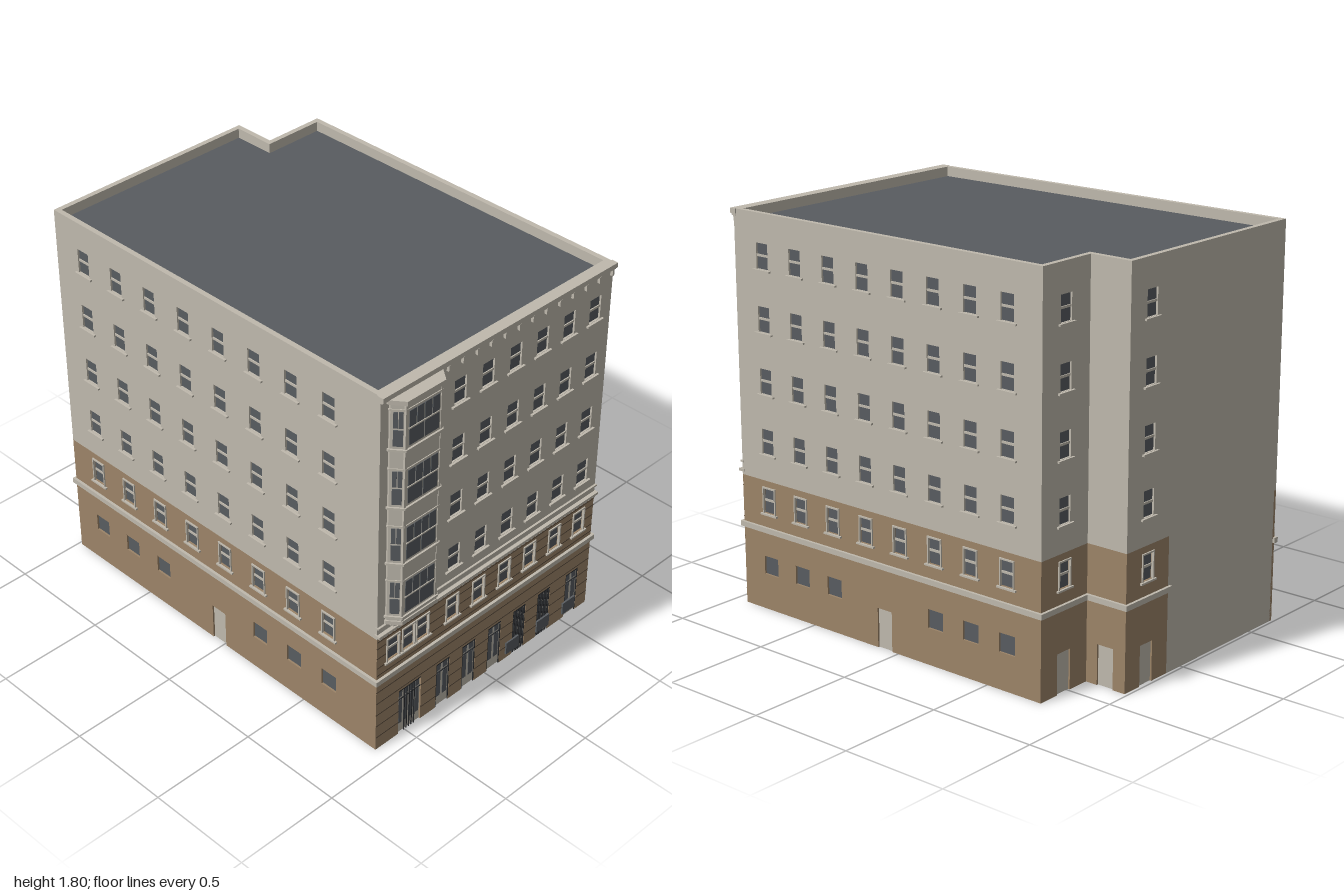
import * as THREE from 'three';
import { mergeGeometries } from 'three/addons/utils/BufferGeometryUtils.js';

const flat = (name, color) => {
  const m = new THREE.MeshStandardMaterial({ color });
  m.name = name;
  return m;
};
const CREAM = flat('cream stone', 0xbfb9ad);
const BROWN = flat('brown stone', 0x9c8468);
const GROOVE = flat('dark brown joint', 0x5f5040);
const SLATE = flat('slate glass', 0x585c60);
const IRON = flat('black iron', 0x2b2d30);

const T = 0.014, TOP = 1.8, SPLIT = 0.605;       // facing depth, height, brown/cream split
const FLOORS = [0.727, 1.0, 1.277, 1.555];       // window bottoms of the cream storeys
const W = 0.068, H = 0.114;                      // window opening

const block = (w, h, d, x, y, z) => new THREE.BoxGeometry(w, h, d).translate(x, y, z);
function add(group, name, geos, mat) {
  if (!geos.length) return;
  const mesh = new THREE.Mesh(geos.length > 1 ? mergeGeometries(geos) : geos[0], mat);
  mesh.name = name;
  group.add(mesh);
}
const points = list => list.map(([x, y]) => new THREE.Vector2(x, y));

// Wall sheet with its outer face at z = 0; doors cut the bottom edge, holes are [x, y, w, h]
function sheet(x0, x1, y0, y1, holes, doors = []) {
  const pts = [[x0, y0]];
  for (const [x, w, h] of [...doors].sort((a, b) => a[0] - b[0]))
    pts.push([x - w / 2, y0], [x - w / 2, h], [x + w / 2, h], [x + w / 2, y0]);
  pts.push([x1, y0], [x1, y1], [x0, y1]);
  const shape = new THREE.Shape(points(pts));
  for (const [x, y, w, h] of holes)
    shape.holes.push(new THREE.Path(points([[x - w / 2, y], [x - w / 2, y + h], [x + w / 2, y + h], [x + w / 2, y]])));
  return new THREE.ExtrudeGeometry(shape, { depth: T, bevelEnabled: false }).translate(0, 0, -T);
}

// One side of the building: stone sheets, windows, sills, doors and string course
function facade(name, o) {
  const g = new THREE.Group();
  g.name = name;
  const cols = o.cols, low = o.lowCols ?? cols, small = o.small ?? [], doors = o.doors ?? [];
  const b0 = o.brown?.[0] ?? o.x0, b1 = o.brown?.[1] ?? o.x1;
  const upper = FLOORS.flatMap(y => cols.map(x => [x, y, W, H]));
  const lower = low.map(x => [x, 0.455, W, H]);
  const ground = small.map(x => [x, 0.165, 0.085, 0.085]);
  add(g, 'upper wall', [sheet(o.x0, o.x1, SPLIT, TOP, upper)], CREAM);
  add(g, 'lower wall', [sheet(b0, b1, 0, SPLIT, [...lower, ...ground], doors)], BROWN);
  if (b0 > o.x0) add(g, 'plain wall', [sheet(o.x0, b0, 0, SPLIT, [])], CREAM);
  if (b1 < o.x1) add(g, 'plain wall', [sheet(b1, o.x1, 0, SPLIT, [])], CREAM);

  const sashes = [...upper, ...lower];
  add(g, 'window glass', [...sashes, ...ground].map(([x, y, w, h]) => block(w, h, 0.004, x, y + h / 2, -0.011)), SLATE);
  add(g, 'sash rails', sashes.map(([x, y]) => block(W, 0.01, 0.006, x, y + H * 0.52, -0.007)), CREAM);
  add(g, 'window sills', sashes.map(([x, y]) => block(0.1, 0.008, 0.018, x, y - 0.005, 0.002)), CREAM);
  // Raised surrounds on the brown storey
  add(g, 'window surrounds', lower.flatMap(([x, y]) => [
    ...[-1, 1].map(s => block(0.006, H + 0.014, 0.012, x + s * (W / 2 + 0.002), y + H / 2, 0)),
    block(W + 0.01, 0.007, 0.012, x, y + H + 0.003, 0)]), CREAM);
  add(g, 'string course', [block(b1 - b0 + 0.02, 0.024, 0.024, (b0 + b1) / 2, 0.377, 0.001)], CREAM);
  add(g, 'doors', doors.map(([x, w, h]) => block(w, h, 0.004, x, h / 2, -0.01)), CREAM);
  return g;
}

// Footprint with a notched back corner, pulled in by d (front by f)
const outline = (d, f = d) => points([
  [-0.675 + d, -0.93 + f], [0.675 - d, -0.93 + f], [0.675 - d, 0.785 - d],
  [0.382 - d, 0.785 - d], [0.382 - d, 0.985 - d], [-0.675 + d, 0.985 - d]]);
const raise = (shape, y0, y1) => new THREE.ExtrudeGeometry(shape, { depth: y1 - y0, bevelEnabled: false })
  .rotateX(-Math.PI / 2).translate(0, y0, 0);

// Openings and trim of the street front
function dressFront(g, doors, lowCols) {
  const glass = [], bars = [], joints = [];
  for (const [x, w, h, kind] of doors) {
    const leaves = kind === 'double' ? 4 : 2, step = w / leaves;
    for (let i = 0; i < leaves; i++) {
      const px = x - w / 2 + step * (i + 0.5);
      glass.push(block(step - 0.014, 0.13, 0.003, px, 0.115, -0.007), block(step - 0.014, 0.035, 0.003, px, 0.213, -0.007));
    }
    bars.push(block(w, 0.006, 0.006, x, h - 0.003, -0.003), block(w, 0.004, 0.004, x, 0.187, -0.005));
    const count = kind === 'grille' ? 8 : kind === 'double' ? 5 : 0;
    const span = kind === 'double' ? 0.06 : w - 0.006;
    for (let i = 0; i < count; i++)
      bars.push(block(0.0045, h, 0.004, x + span * (i / (count - 1) - 0.5), h / 2, -0.003));
    if (!count) for (const s of [-1, 1]) bars.push(block(0.004, h, 0.004, x + s * (w / 2 - 0.002), h / 2, -0.003));
  }
  add(g, 'shopfront glass', glass, SLATE);
  add(g, 'iron grilles', bars, IRON);

  // Masonry joints, broken at the openings
  for (const y of [0.067, 0.13, 0.192, 0.255, 0.317, 0.41, 0.45, 0.502, 0.555, 0.59]) {
    const gaps = y < 0.24 ? doors.map(d => [d[0], d[1]])
      : y > 0.44 && y < 0.58 ? lowCols.map(x => [x, 0.085]) : [];
    let start = -0.675;
    for (const [x, w] of [...gaps, [0.675, 0]].sort((a, b) => a[0] - b[0])) {
      const end = x - w / 2;
      if (end - start > 0.005) joints.push(block(end - start, 0.006, 0.003, (start + end) / 2, y, 0));
      start = Math.max(start, x + w / 2);
    }
  }
  add(g, 'masonry joints', joints, GROOVE);
  add(g, 'wall boxes', [0.172, 0.374, 0.549].map(x => block(0.082, 0.062, 0.009, x, 0.058, 0.003)), SLATE);

  // Dentilled cornice over the brown storeys, and the bracketed top cornice
  const trim = [block(1.36, 0.012, 0.03, 0, 0.625, 0.003), block(1.355, 0.008, 0.02, 0, 0.665, 0),
    block(1.36, 0.022, 0.032, 0, 1.789, 0.002), block(1.355, 0.008, 0.024, 0, 1.774, 0)];
  for (let i = 0; i < 50; i++) trim.push(block(0.013, 0.013, 0.02, -0.662 + i * 0.027, 0.613, 0.002));
  for (let i = 0; i < 13; i++) trim.push(block(0.01, 0.03, 0.022, -0.31 + i * 0.081, 1.757, 0.002));
  add(g, 'cornices', trim, CREAM);
}

// Canted bay window
function bayWindow() {
  const g = new THREE.Group();
  g.name = 'bayWindow';
  g.position.x = -0.494;
  const plan = (d, f = 0) => new THREE.Shape(points([
    [-0.137 - d, -0.92], [-0.137 - d, -0.938], [-0.097 - d * 0.6, -0.985 - d + f],
    [0.097 + d * 0.6, -0.985 - d + f], [0.137 + d, -0.938], [0.137 + d, -0.92]]));
  const parts = [raise(plan(0), 0.68, 1.76), raise(plan(0.012), 1.752, 1.772), raise(plan(0.006), 0.672, 0.69),
    raise(plan(-0.012), 0.66, 0.672), raise(plan(-0.026), 0.645, 0.66), raise(plan(-0.042, -0.002), 0.63, 0.645)];
  for (const y of FLOORS) parts.push(raise(plan(0.009), y - 0.022, y - 0.012));
  for (const y of FLOORS) parts.push(raise(plan(0.004), y + 0.165, y + 0.173));
  for (const s of [-1, 1]) parts.push(block(0.012, 1.07, 0.012, s * 0.097, 1.215, 0.982));
  parts.forEach(p => add(g, 'bay stonework', [p], CREAM));

  // Panes: four over two on the front, two over one on each canted side
  const front = [], side = [], rails = [];
  for (const y of FLOORS) {
    for (let i = 0; i < 4; i++) front.push(block(0.037, 0.075, 0.004, (i - 1.5) * 0.0425, y + 0.122, 0.986));
    for (const s of [-1, 1]) front.push(block(0.079, 0.075, 0.004, s * 0.0425, y + 0.038, 0.986));
    for (const s of [-1, 1]) side.push(block(0.018, 0.075, 0.004, s * 0.0105, y + 0.122, 0.001));
    side.push(block(0.039, 0.075, 0.004, 0, y + 0.038, 0.001));
    rails.push(block(0.17, 0.006, 0.008, 0, y + 0.08, 0.986));
  }
  add(g, 'bay front glass', front, SLATE);
  add(g, 'bay rails', rails, CREAM);
  for (const s of [-1, 1]) {
    const face = new THREE.Group();
    face.name = 'bay canted side';
    face.position.set(s * 0.117, 0, 0.9615);
    face.rotation.y = s * Math.atan2(0.047, 0.04);
    add(face, 'bay side glass', side.map(q => q.clone()), SLATE);
    g.add(face);
  }
  return g;
}

export function createModel() {
  const model = new THREE.Group();
  model.name = 'building';
  const place = (g, x, z, turn) => {
    g.position.set(x, 0, z);
    g.rotation.y = turn;
    model.add(g);
    return g;
  };

  // Street front
  const cols = [-0.23, -0.069, 0.093, 0.254, 0.416, 0.577];
  const lowCols = [-0.582, -0.491, -0.408, ...cols];
  const doors = [[-0.473, 0.134, 0.24, 'double'], [-0.272, 0.08, 0.24], [-0.11, 0.08, 0.24], [0.053, 0.08, 0.24],
    [0.214, 0.08, 0.24, 'grille'], [0.375, 0.08, 0.24, 'grille'], [0.563, 0.08, 0.24]];
  const front = place(facade('frontWall', { x0: -0.675, x1: 0.675, cols, lowCols, doors }), 0, 0.93, 0);
  dressFront(front, doors, lowCols);
  model.add(bayWindow());

  // Long side walls
  const rightCols = Array.from({ length: 8 }, (_, i) => -0.764 + i * 0.196);
  place(facade('leftSideWall', { x0: -0.93, x1: 0.785, cols: rightCols, small: [0, 1, 2, 5, 6, 7].map(i => rightCols[i]),
    doors: [[-0.075, 0.082, 0.18]] }), 0.675, 0, Math.PI / 2);
  const leftCols = Array.from({ length: 8 }, (_, i) => -0.81 + i * 0.209);
  place(facade('rightSideWall', { x0: -0.985, x1: 0.93, cols: leftCols, small: [0, 1, 2, 5, 6, 7].map(i => leftCols[i]),
    doors: [[-0.03, 0.082, 0.18]] }), -0.675, 0, -Math.PI / 2);

  // Back wall and the two walls of the notch
  place(facade('backWall', { x0: -0.382, x1: 0.675, brown: [-0.382, -0.1], cols: [-0.243],
    doors: [[-0.243, 0.082, 0.18]] }), 0, -0.985, Math.PI);
  place(facade('notchBackWall', { x0: -0.675, x1: -0.37, cols: [-0.53], doors: [[-0.53, 0.082, 0.18]] }), 0, -0.785, Math.PI);
  place(facade('notchSideWall', { x0: 0.772, x1: 0.985, cols: [], doors: [[0.882, 0.082, 0.18]] }), 0.382, 0, Math.PI / 2);

  // Inner lining, which is also the parapet, and the roof deck
  const ring = new THREE.Shape(outline(T));
  ring.holes.push(new THREE.Path(outline(0.024, 0.036)));
  add(model, 'inner walls and parapet', [raise(ring, 0, TOP)], CREAM);
  add(model, 'roof', [raise(new THREE.Shape(outline(0.022, 0.034)), 1.745, 1.755)], SLATE);
  return model;
}
